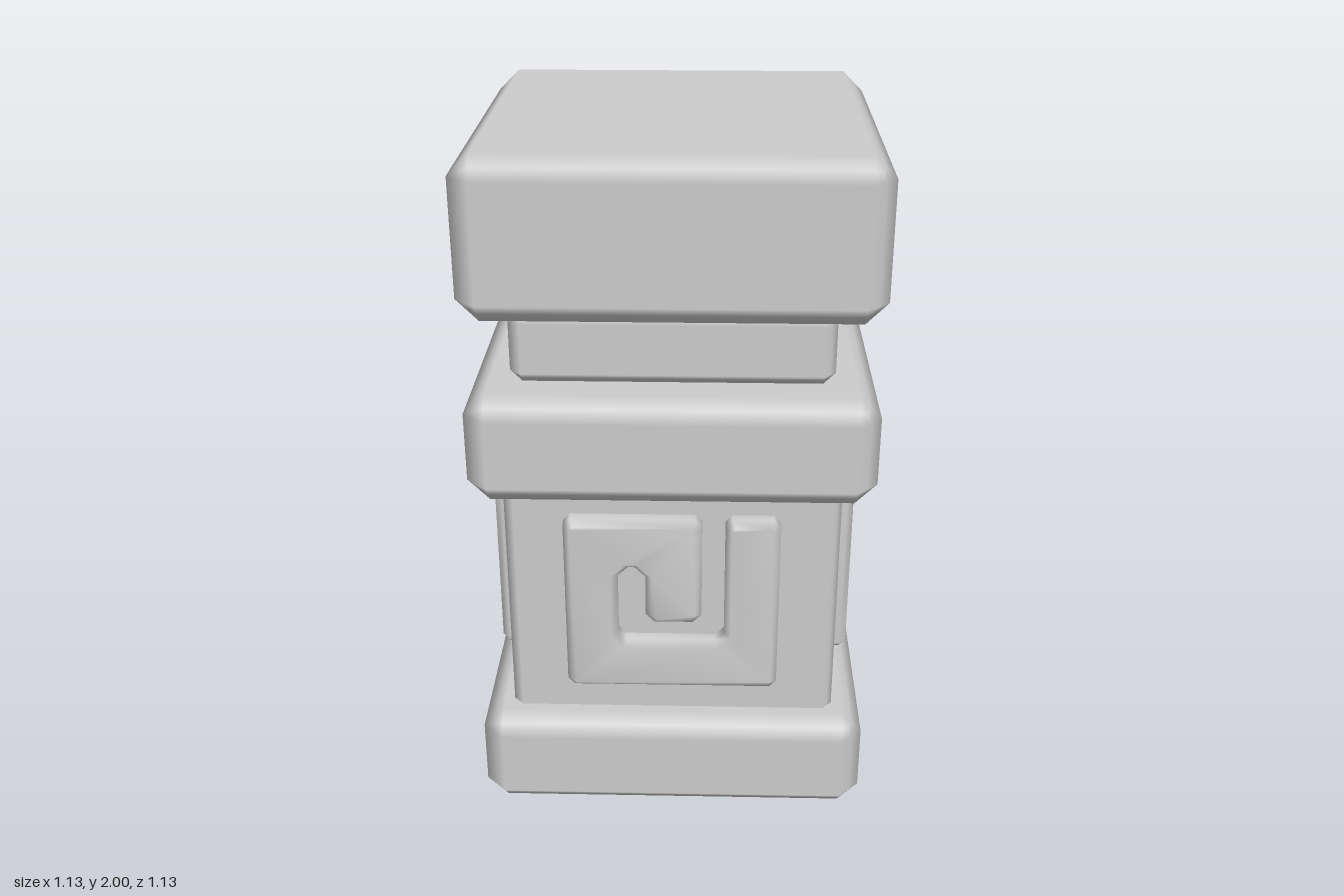
import * as THREE from 'three';
import { mergeVertices } from 'three/addons/utils/BufferGeometryUtils.js';

const material = new THREE.MeshStandardMaterial({ color: 0xcccccc });

// Box with 45 degree chamfers: flat faces, normals blending across the chamfers
function chamferBox(w, h, d, c) {
  const geo = new THREE.BoxGeometry(2, 2, 2, 3, 3, 3);
  const pos = geo.attributes.position, nor = geo.attributes.normal;
  const half = [w / 2, h / 2, d / 2];
  for (let i = 0; i < pos.count; i++) {
    const p = [pos.getX(i), pos.getY(i), pos.getZ(i)];
    const outer = p.map(v => Math.abs(v) > 0.9);
    const k = outer.filter(Boolean).length; // 1 face, 2 edge, 3 corner
    const q = p.map((v, a) => Math.sign(v) * (half[a] - (outer[a] ? c * (k - 1) / k : c)));
    const n = p.map((v, a) => (outer[a] ? Math.sign(v) / Math.sqrt(k) : 0));
    pos.setXYZ(i, ...q);
    nor.setXYZ(i, ...n);
  }
  return geo;
}

// Square block between two heights
function block(name, y0, y1, width, c) {
  const mesh = new THREE.Mesh(chamferBox(width, y1 - y0, width, c), material);
  mesh.position.y = (y0 + y1) / 2;
  mesh.name = name;
  return mesh;
}

// Raised hook-shaped relief with bevelled edges
function reliefGeometry() {
  const outline = [
    [-0.285, 0.415], [0.285, 0.415], [0.305, 0.435], [0.305, 0.95], [0.285, 0.97],
    [0.17, 0.97], [0.15, 0.95], [0.15, 0.6], [0.125, 0.575],
    [-0.13, 0.575], [-0.155, 0.6], [-0.155, 0.785], [-0.125, 0.815], [-0.105, 0.815],
    [-0.075, 0.785], [-0.075, 0.66], [-0.05, 0.635], [0.06, 0.635], [0.085, 0.66],
    [0.085, 0.95], [0.065, 0.97], [-0.285, 0.97], [-0.305, 0.95], [-0.305, 0.435],
  ];
  const shape = new THREE.Shape(outline.map(p => new THREE.Vector2(...p)));
  const geo = new THREE.ExtrudeGeometry(shape, {
    depth: 0.055, bevelEnabled: true, bevelSegments: 1,
    bevelSize: 0.018, bevelThickness: 0.02, bevelOffset: -0.018,
  });
  geo.deleteAttribute('normal');
  geo.deleteAttribute('uv');
  const smooth = mergeVertices(geo, 1e-4);
  smooth.computeVertexNormals();
  return smooth.translate(0, 0, 0.45);
}

export function createModel() {
  const model = new THREE.Group();
  model.name = 'pillar';

  // Stacked blocks; the shaft runs into its neighbours
  model.add(
    block('base', 0, 0.317, 1.126, 0.06),
    block('shaft', 0.26, 1.09, 0.95, 0.028),
    block('collar', 1.028, 1.345, 1.126, 0.06),
    block('neck', 1.345, 1.555, 0.885, 0.033),
    block('cap', 1.555, 2, 1.126, 0.06),
  );

  // One relief on each side of the shaft
  const relief = reliefGeometry();
  ['front', 'left', 'back', 'right'].forEach((side, i) => {
    const mesh = new THREE.Mesh(relief, material);
    mesh.rotation.y = i * Math.PI / 2;
    mesh.name = side + 'Relief';
    model.add(mesh);
  });
  return model;
}
